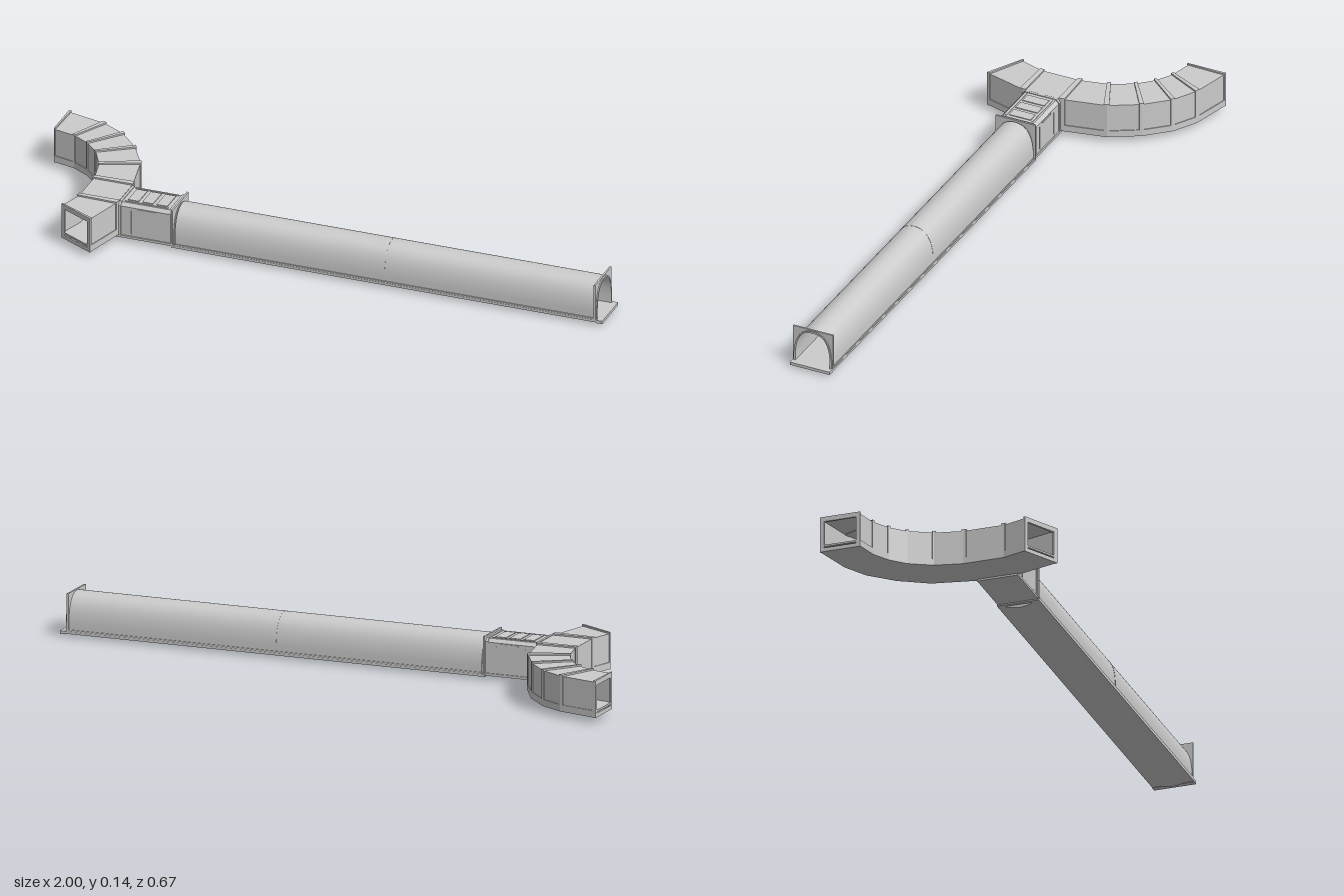
import * as THREE from 'three';
import { toCreasedNormals } from 'three/addons/utils/BufferGeometryUtils.js';

const grey = new THREE.MeshStandardMaterial({ color: 0xcccccc });
const AXIS_Z = 0.124; // centre line of the straight tunnel

function add(parent, name, geometry) {
  const mesh = new THREE.Mesh(geometry, grey);
  mesh.name = name;
  parent.add(mesh);
  return mesh;
}

function box(parent, name, x0, x1, y0, y1, z0, z1) {
  const mesh = add(parent, name, new THREE.BoxGeometry(x1 - x0, y1 - y0, z1 - z0));
  mesh.position.set((x0 + x1) / 2, (y0 + y1) / 2, (z0 + z1) / 2);
  return mesh;
}

// Extrude a symmetric cross-section (z, y) along x
function prism(parent, name, shape, x0, x1) {
  const geo = new THREE.ExtrudeGeometry(shape, { depth: x1 - x0, bevelEnabled: false, curveSegments: 14 });
  geo.rotateY(Math.PI / 2);
  geo.translate(x0, 0, AXIS_Z);
  return add(parent, name, toCreasedNormals(geo, 0.5));
}

// Horseshoe arch outline, shrunk inwards by d
function arch(d = 0, Path = THREE.Shape) {
  const w = 0.066 - d, top = 0.137 - d, y0 = 0.018;
  const p = new Path();
  p.moveTo(-w, y0);
  p.lineTo(w, y0);
  p.lineTo(w, 0.045);
  p.bezierCurveTo(w - 0.003, 0.105, 0.04, top, 0, top);
  p.bezierCurveTo(-0.04, top, -w + 0.003, 0.105, -w, 0.045);
  p.closePath();
  return p;
}

function polygon(points, Path = THREE.Shape) {
  return new Path(points.map(([a, b]) => new THREE.Vector2(a, b)));
}

function mirrored(half) {
  return [...half, ...half.slice().reverse().map(([a, b]) => [-a, b])];
}

function ringShape(outer, hole) {
  outer.holes.push(hole);
  return outer;
}

// Plan of the curved corridor: [outer x, outer z, inner x, inner z]
const stations = [
  [-0.67, 0.335, -0.79, 0.27], [-0.63, 0.19, -0.765, 0.19],
  [-0.63, 0.055, -0.765, 0.055], [-0.66, -0.09, -0.785, -0.035],
  [-0.715, -0.185, -0.825, -0.11], [-0.785, -0.26, -0.87, -0.155],
  [-0.865, -0.305, -0.925, -0.187], [-1, -0.339, -1, -0.205],
];

// Hollow duct: u runs 0..1 from the inside to the outside of the bend
function duct(path, outer, inner) {
  const pos = [];
  const point = (s, [u, y]) => [s[2] + (s[0] - s[2]) * u, y, s[3] + (s[1] - s[3]) * u];
  const quad = (a, b, c, d) => pos.push(...a, ...b, ...c, ...a, ...c, ...d);
  const n = outer.length, first = path[0], last = path[path.length - 1];
  for (let j = 0; j < n; j++) {
    const k = (j + 1) % n;
    for (let i = 0; i < path.length - 1; i++) {
      const s = path[i], t = path[i + 1];
      quad(point(s, outer[j]), point(t, outer[j]), point(t, outer[k]), point(s, outer[k]));
      quad(point(s, inner[k]), point(t, inner[k]), point(t, inner[j]), point(s, inner[j]));
    }
    quad(point(first, outer[j]), point(first, outer[k]), point(first, inner[k]), point(first, inner[j]));
    quad(point(last, inner[j]), point(last, inner[k]), point(last, outer[k]), point(last, outer[j]));
  }
  const geo = new THREE.BufferGeometry();
  geo.setAttribute('position', new THREE.Float32BufferAttribute(pos, 3));
  geo.computeVertexNormals();
  return geo;
}

const rect = (u0, u1, y0, y1) => [[u0, y0], [u1, y0], [u1, y1], [u0, y1]];
const mix = (a, b, t) => a.map((v, i) => v + (b[i] - v) * t);

function buildTunnel() {
  const g = new THREE.Group();
  g.name = 'tunnel';
  prism(g, 'archShell', ringShape(arch(), arch(0.006, THREE.Path)), -0.44, 0.975);
  prism(g, 'middleJoint', ringShape(arch(-0.0008), arch(0.003, THREE.Path)), 0.262, 0.266);

  // Base plate, side rails and rounded belly
  box(g, 'basePlate', -0.45, 0.995, 0.01, 0.018, AXIS_Z - 0.07, AXIS_Z + 0.07);
  for (const s of [-1, 1]) {
    const z = AXIS_Z + s * 0.067;
    box(g, 'sideRail', -0.44, 0.975, 0.018, 0.023, z - 0.002, z + 0.002);
  }
  const belly = new THREE.Shape();
  belly.moveTo(0.048, 0.011);
  belly.lineTo(-0.048, 0.011);
  belly.quadraticCurveTo(0, -0.011, 0.048, 0.011);
  prism(g, 'belly', belly, -0.44, 0.975);

  // Square end plates with arched openings
  for (const x of [-0.452, 0.971]) {
    const plate = polygon(mirrored([[0.07, 0.01], [0.07, 0.14]]));
    prism(g, 'endPlate', ringShape(plate, arch(0.006, THREE.Path)), x, x + 0.006);
  }
  prism(g, 'endCollar', ringShape(arch(), arch(0.006, THREE.Path)), 0.975, 0.981);

  // Bulkhead and door at the inner end
  const door = mirrored([[0.036, 0.02], [0.047, 0.045], [0.043, 0.098], [0.027, 0.118]]);
  prism(g, 'bulkhead', ringShape(arch(0.004), polygon(door, THREE.Path)), -0.452, -0.444);
  prism(g, 'door', polygon(door), -0.452, -0.447);
  return g;
}

function buildConnector() {
  const g = new THREE.Group();
  g.name = 'connector';
  prism(g, 'connectorBody', polygon(mirrored([[0.064, 0.016], [0.064, 0.122], [0.054, 0.133]])), -0.64, -0.45);
  prism(g, 'connectorFloor', polygon(mirrored([[0.068, 0.014], [0.068, 0.022]])), -0.64, -0.45);
  // Collars at both ends
  for (const x of [-0.63, -0.462]) {
    prism(g, 'connectorCollar', polygon(mirrored([[0.066, 0.018], [0.066, 0.124], [0.056, 0.1355]])), x, x + 0.008);
  }
  // Roof hatches
  for (let i = 0; i < 3; i++) {
    const x = -0.608 + i * 0.048;
    box(g, 'roofHatch', x, x + 0.036, 0.132, 0.1355, AXIS_Z - 0.038, AXIS_Z + 0.038);
  }
  // Side trims and vents
  for (const s of [-1, 1]) {
    const z = AXIS_Z + s * 0.064;
    box(g, 'sideVent', -0.565, -0.505, 0.115, 0.12, z - 0.002, z + 0.002);
    for (const x of [-0.59, -0.49]) box(g, 'sideTrim', x, x + 0.003, 0.03, 0.11, z - 0.001, z + 0.001);
    const rz = AXIS_Z + s * 0.046;
    box(g, 'roofRail', -0.615, -0.47, 0.132, 0.135, rz - 0.002, rz + 0.002);
  }
  return g;
}

function buildCorridor() {
  const g = new THREE.Group();
  g.name = 'curvedCorridor';
  const hollow = rect(0.07, 0.93, 0.028, 0.127);
  add(g, 'corridorShell', duct(stations, rect(0.02, 0.98, 0.021, 0.134), hollow));
  // Wider skirt along the foot of the walls
  add(g, 'corridorSkirt', duct(stations, rect(0, 1, 0.02, 0.042), rect(0.05, 0.95, 0.026, 0.036)));
  // Ribs over the panel joints
  for (let i = 1; i < stations.length - 1; i++) {
    const path = [mix(stations[i], stations[i - 1], 0.07), stations[i], mix(stations[i], stations[i + 1], 0.07)];
    add(g, 'jointRib', duct(path, rect(0, 1, 0.02, 0.139), rect(0.065, 0.935, 0.029, 0.126)));
  }
  // Frames around the open ends
  const n = stations.length - 1;
  const startFrame = [stations[0], mix(stations[0], stations[1], 0.06)];
  const endFrame = [mix(stations[n], stations[n - 1], 0.06), stations[n]];
  for (const path of [startFrame, endFrame]) {
    add(g, 'endFrame', duct(path, rect(0, 1, 0.019, 0.139), rect(0.1, 0.9, 0.032, 0.123)));
  }
  return g;
}

export function createModel() {
  const model = new THREE.Group();
  model.name = 'tunnelAssembly';
  model.add(buildTunnel(), buildConnector(), buildCorridor());
  // Threshold at the open tunnel mouth
  box(model, 'threshold', 0.981, 1, 0.008, 0.018, AXIS_Z - 0.07, AXIS_Z + 0.07);
  return model;
}
